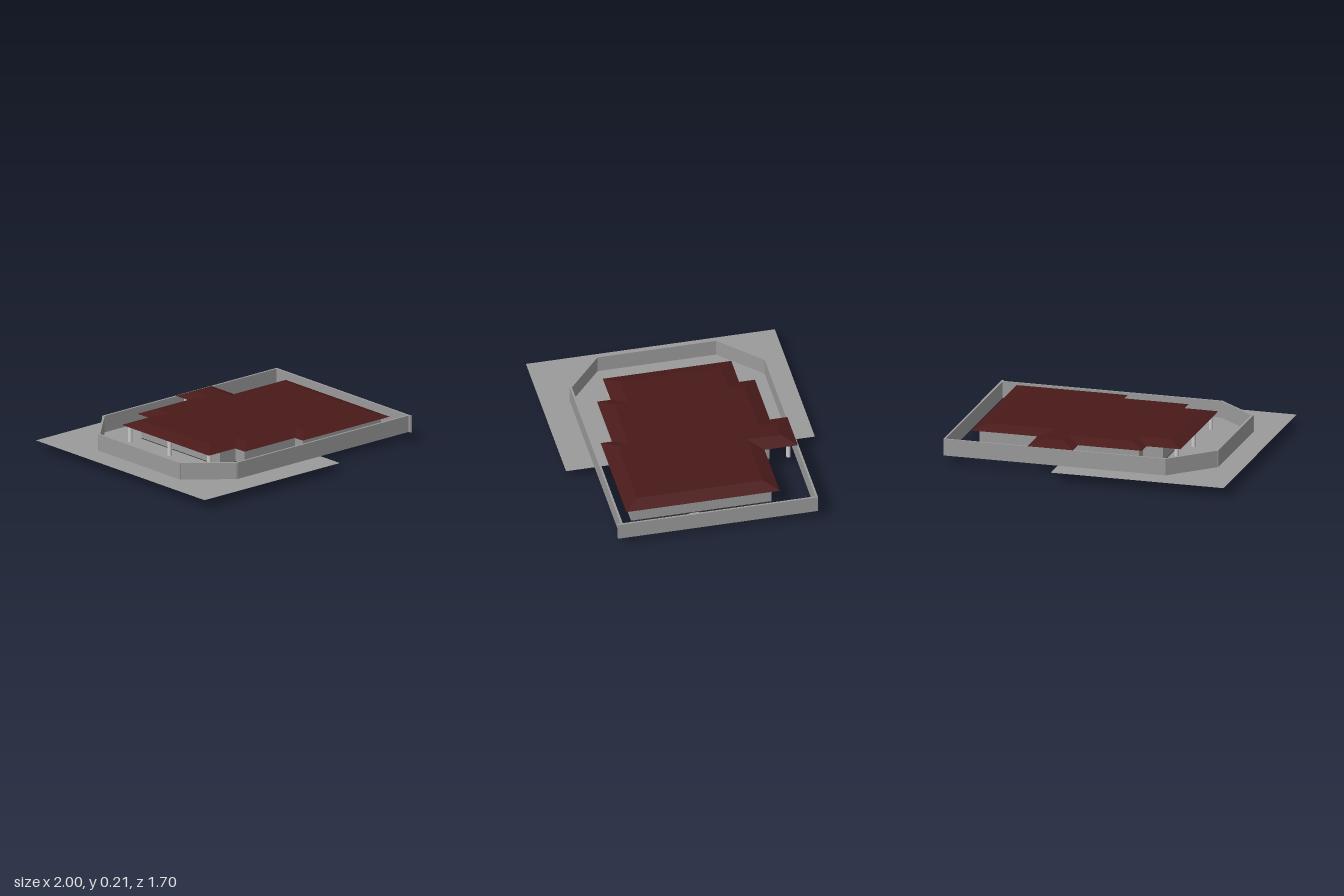
import * as THREE from 'three';

const mat = (color, side = THREE.FrontSide) =>
  new THREE.MeshStandardMaterial({ color, side, flatShading: true });
const GROUND = 0.065, EAVE = 0.18, RIDGE = 0.212;
const stone = mat(0x9a9a9a), dark = mat(0x2c2c2c), maroon = mat(0x4a1a1a);
const pale = new THREE.MeshStandardMaterial({ color: 0xcccccc });

// Plan points are [x, z], running along the front to +x and back round.
const planShape = (pts) => new THREE.Shape(pts.map(([x, z]) => new THREE.Vector2(x, -z)));

function add(parent, name, geometry, material) {
  const mesh = new THREE.Mesh(geometry, material);
  mesh.name = name;
  parent.add(mesh);
  return mesh;
}

// Solid slab from a plan shape
function slab(parent, name, shape, y0, y1, material) {
  const geo = new THREE.ExtrudeGeometry(shape, { depth: y1 - y0, bevelEnabled: false, curveSegments: 12 });
  geo.rotateX(-Math.PI / 2).translate(0, y0, 0);
  return add(parent, name, geo, material);
}

// Move every edge of a right-angled plan inwards by d
function inset(pts, d) {
  const n = pts.length;
  const normal = (a, b) => [Math.sign(b[1] - a[1]), -Math.sign(b[0] - a[0])];
  return pts.map((p, i) => {
    const a = normal(pts[(i + n - 1) % n], p), b = normal(p, pts[(i + 1) % n]);
    return [p[0] + (a[0] + b[0]) * d, p[1] + (a[1] + b[1]) * d];
  });
}

// Straight wall between two plan points
function wall(parent, name, a, b, t, y0, y1, material) {
  const dx = b[0] - a[0], dz = b[1] - a[1];
  const mesh = add(parent, name, new THREE.BoxGeometry(Math.hypot(dx, dz) + t, y1 - y0, t), material);
  mesh.position.set((a[0] + b[0]) / 2, (y0 + y1) / 2, (a[1] + b[1]) / 2);
  mesh.rotation.y = -Math.atan2(dz, dx);
}

function wallLoop(parent, name, pts, t, y0, y1, material) {
  pts.forEach((p, i) => wall(parent, name, p, pts[(i + 1) % pts.length], t, y0, y1, material));
}

// Low hipped roof: sloping skirt, flat top and closed underside
function buildRoof(parent, eave) {
  const top = inset(eave, 0.095), pos = [];
  eave.forEach((a, i) => {
    const j = (i + 1) % eave.length, b = eave[j], c = top[j], d = top[i];
    const [A, B] = [a, b].map(([x, z]) => [x, EAVE, z]);
    const [C, D] = [c, d].map(([x, z]) => [x, RIDGE, z]);
    pos.push(...A, ...B, ...C, ...A, ...C, ...D);
  });
  const skirt = new THREE.BufferGeometry();
  skirt.setAttribute('position', new THREE.Float32BufferAttribute(pos, 3));
  skirt.computeVertexNormals();
  add(parent, 'roofSlopes', skirt, mat(0x4a1a1a, THREE.DoubleSide));
  const cap = new THREE.ShapeGeometry(planShape(top)).rotateX(-Math.PI / 2).translate(0, RIDGE, 0);
  add(parent, 'roofTop', cap, maroon);
  const soffit = new THREE.ShapeGeometry(planShape(eave)).rotateX(-Math.PI / 2).translate(0, EAVE, 0);
  add(parent, 'roofUnderside', soffit, mat(0x2c1414, THREE.BackSide));
}

export function createModel() {
  const model = new THREE.Group();
  model.name = 'walledHouse';

  // Ground sheet under one end of the plot
  const ground = new THREE.PlaneGeometry(1.2, 1.7).rotateX(-Math.PI / 2).translate(-0.4, GROUND, 0);
  add(model, 'ground', ground, mat(0x9a9a9a, THREE.DoubleSide));

  // Boundary wall with two cut corners
  const boundary = new THREE.Group();
  boundary.name = 'boundaryWall';
  model.add(boundary);
  wallLoop(boundary, 'boundaryPanel', [
    [-0.825, 0.405], [-0.54, 0.648], [0.988, 0.648], [0.988, -0.683], [-0.545, -0.683], [-0.825, -0.41],
  ], 0.014, GROUND, EAVE, stone);
  wall(boundary, 'boundaryEnd', [0.988, 0.64], [0.988, 0.668], 0.014, GROUND, EAVE, stone);

  // Roof
  const roof = new THREE.Group();
  roof.name = 'roof';
  model.add(roof);
  buildRoof(roof, [
    [-0.583, 0.42], [-0.348, 0.42], [-0.348, 0.513], [0.097, 0.513], [0.097, 0.59], [0.87, 0.59],
    [0.87, -0.457], [0.412, -0.457], [0.412, -0.685], [0.097, -0.685], [0.097, -0.565],
    [-0.348, -0.565], [-0.348, -0.457], [-0.583, -0.457],
  ]);

  // House floor, outer walls and room dividers
  const house = new THREE.Group();
  house.name = 'house';
  model.add(house);
  const outline = [
    [-0.45, 0.38], [-0.31, 0.38], [-0.31, 0.47], [0.135, 0.47], [0.135, 0.55], [0.83, 0.55],
    [0.83, -0.41], [0.375, -0.41], [0.375, -0.5], [-0.31, -0.5], [-0.31, -0.41], [-0.45, -0.41],
  ];
  slab(house, 'floor', planShape(outline), GROUND + 0.002, GROUND + 0.006, dark);
  wallLoop(house, 'outerWall', inset(outline, 0.008), 0.014, GROUND, EAVE, stone);
  [
    [[0.135, -0.49], [0.135, -0.1]], [[0.135, 0.15], [0.135, 0.46]], [[-0.44, 0.05], [0, 0.05]],
    [[0.135, -0.15], [0.82, -0.15]], [[0.5, -0.4], [0.5, -0.15]], [[-0.1, 0.05], [-0.1, 0.46]],
  ].forEach(([a, b]) => wall(house, 'roomDivider', a, b, 0.01, GROUND, EAVE, stone));

  // Porch posts at the end and under the rear canopy
  [[-0.545, 0.38], [-0.545, -0.02], [-0.545, -0.415], [0.14, -0.63], [0.37, -0.63]].forEach(([x, z]) => {
    const post = add(house, 'porchPost', new THREE.CylinderGeometry(0.015, 0.015, EAVE - GROUND, 16), pale);
    post.position.set(x, (EAVE + GROUND) / 2, z);
  });

  // Sunken basin: rectangle with a rounded bay at each end
  const basin = new THREE.Shape();
  const midZ = 0.095;
  basin.moveTo(0.37, -0.255);
  basin.lineTo(0.735, -0.255);
  basin.lineTo(0.735, -midZ - 0.035);
  basin.lineTo(0.765, -midZ - 0.035);
  basin.absarc(0.765, -midZ, 0.035, -Math.PI / 2, Math.PI / 2, false);
  basin.lineTo(0.735, -midZ + 0.035);
  basin.lineTo(0.735, 0.073);
  basin.lineTo(0.37, 0.073);
  basin.lineTo(0.37, -midZ + 0.11);
  basin.absarc(0.37, -midZ, 0.11, Math.PI / 2, Math.PI * 1.5, false);
  slab(model, 'basin', basin, 0, GROUND + 0.002, [dark, pale]);

  return model;
}
